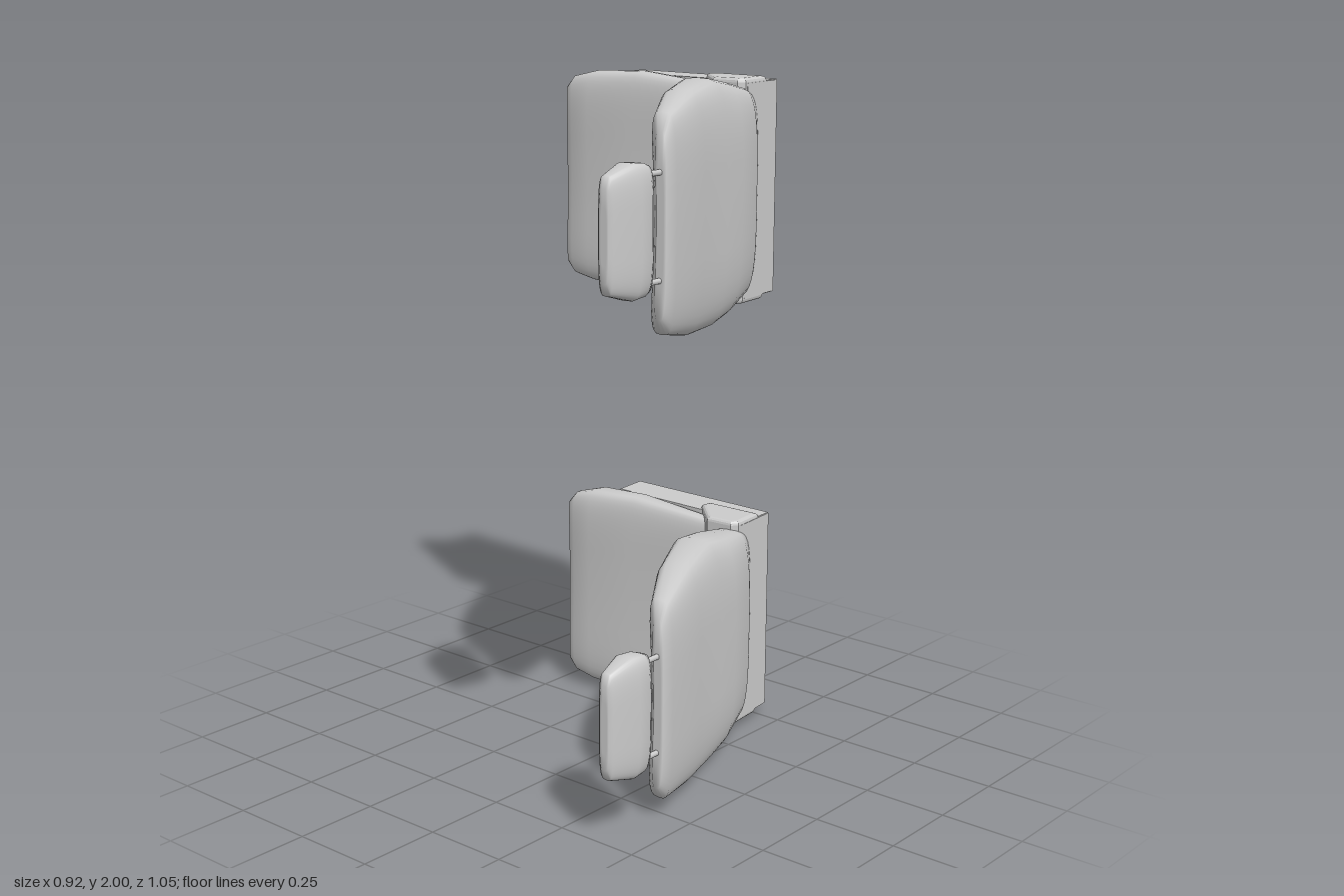
import * as THREE from 'three';

const grey = new THREE.MeshStandardMaterial({ color: 0xcccccc, side: THREE.DoubleSide });

function mesh(name, geometry) {
  const m = new THREE.Mesh(geometry, grey);
  m.name = name;
  return m;
}

// Padded form lofted through sections [frontX, frontZ, backX, backZ, halfWidth];
// "dish" hollows the middle of the front face.
function pad(name, sections, power, dish = 0) {
  const n = 40, pos = [], idx = [];
  const round = (t) => Math.sign(t) * Math.abs(t) ** (2 / power);
  const first = sections[0], last = sections[sections.length - 1];
  const rows = [[first, 0], [first, 0.6], ...sections.map((s) => [s, 1]), [last, 0.6], [last, 0]];
  rows.forEach(([[fx, fz, bx, bz, h], k]) => {
    const thick = Math.hypot(fx - bx, fz - bz);
    for (let j = 0; j < n; j++) {
      const a = (j / n) * Math.PI * 2;
      const v = round(Math.sin(a));
      let u = round(Math.cos(a));
      if (u > 0) u -= Math.min(0.5, (dish / thick) * 2) * u * (1 - v * v);
      u *= k;
      pos.push((fx + bx) / 2 + u * (fx - bx) / 2, v * h * k, (fz + bz) / 2 + u * (fz - bz) / 2);
    }
  });
  for (let i = 0; i < rows.length - 1; i++) {
    for (let j = 0; j < n; j++) {
      const a = i * n + j, b = i * n + (j + 1) % n;
      idx.push(a, b, a + n, b, b + n, a + n);
    }
  }
  const g = new THREE.BufferGeometry();
  g.setAttribute('position', new THREE.Float32BufferAttribute(pos, 3));
  g.setIndex(idx);
  g.computeVertexNormals();
  return mesh(name, g);
}

// Plate with an (x, z) outline, spanning y0 to y1
function slab(name, outline, y0, y1, bevel = 0) {
  const shape = new THREE.Shape(outline.map(([x, z]) => new THREE.Vector2(x, -z)));
  const g = new THREE.ExtrudeGeometry(shape, {
    depth: y1 - y0 - 2 * bevel, bevelEnabled: bevel > 0, bevelSize: bevel,
    bevelThickness: bevel, bevelOffset: -bevel, bevelSegments: 3,
  });
  g.rotateX(-Math.PI / 2);
  g.translate(0, y0 + bevel, 0);
  return mesh(name, g);
}

function createSeat() {
  const seat = new THREE.Group();
  seat.name = 'seat';

  seat.add(pad('backrest', [
    [0.400, 0.303, 0.442, 0.300, 0.245],
    [0.350, 0.265, 0.453, 0.270, 0.290],
    [0.250, 0.130, 0.385, 0.065, 0.330],
    [0.145, -0.060, 0.327, -0.110, 0.345],
    [0.110, -0.180, 0.310, -0.200, 0.328],
    [0.100, -0.320, 0.250, -0.345, 0.300],
    [0.120, -0.400, 0.195, -0.420, 0.280],
  ], 3.6, 0.025));

  seat.add(pad('cushion', [
    [0.150, -0.360, 0.150, -0.415, 0.285],
    [0.070, -0.353, 0.070, -0.425, 0.298],
    [-0.200, -0.315, -0.200, -0.430, 0.325],
    [-0.365, -0.300, -0.365, -0.436, 0.318],
    [-0.435, -0.307, -0.425, -0.395, 0.302],
    [-0.460, -0.322, -0.456, -0.345, 0.270],
  ], 4, 0.012));

  seat.add(pad('headrest', [
    [0.405, 0.520, 0.435, 0.518, 0.120],
    [0.390, 0.505, 0.443, 0.508, 0.152],
    [0.364, 0.430, 0.460, 0.415, 0.176],
    [0.366, 0.385, 0.456, 0.370, 0.172],
    [0.385, 0.355, 0.445, 0.352, 0.164],
  ], 4));

  // Open base frame under the cushion
  const base = new THREE.Group();
  base.name = 'baseFrame';
  base.add(slab('frontPanel', [[-0.345, -0.53], [-0.31, -0.53], [-0.315, -0.42], [-0.367, -0.43]], -0.29, 0.29));
  base.add(slab('rearPanel', [[0.165, -0.52], [0.185, -0.52], [0.195, -0.42], [0.2, -0.36], [0.165, -0.36]], -0.31, 0.31));
  const side = [[-0.335, -0.53], [0.183, -0.52], [0.19, -0.41], [0, -0.41], [-0.325, -0.42]];
  const hinge = [[0, -0.425], [0.01, -0.458], [0.19, -0.46], [0.2, -0.35], [0.185, -0.33], [0.1, -0.325]];
  for (const s of [-1, 1]) {
    const span = (a, b) => (s > 0 ? [a, b] : [-b, -a]);
    base.add(slab('sidePanel', side, ...span(0.285, 0.312)));
    base.add(slab('hingeCover', hinge, ...span(0.24, 0.325), 0.012));

    // Headrest post
    const post = mesh('headrestPost', new THREE.CylinderGeometry(0.008, 0.008, 0.1, 10));
    post.rotation.x = Math.PI / 2;
    post.position.set(0.421, s * 0.14, 0.325);
    seat.add(post);
  }
  seat.add(base);
  return seat;
}

export function createModel() {
  const model = new THREE.Group();
  model.name = 'seatPair';
  // Two identical seats lying on their sides, one above the other
  for (const y of [0.345, 1.655]) {
    const seat = createSeat();
    seat.position.y = y;
    model.add(seat);
  }
  return model;
}
